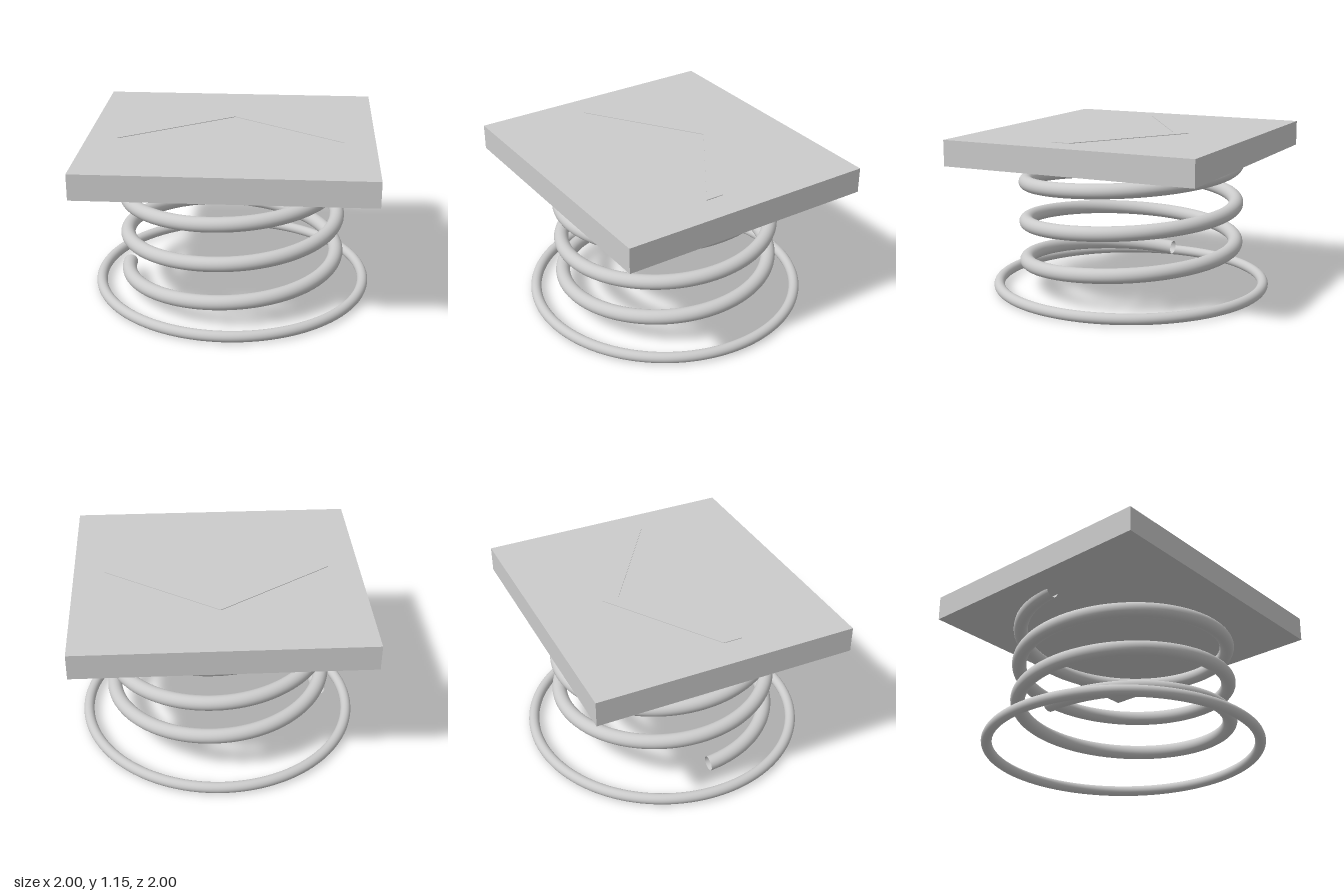
import * as THREE from 'three';

// Rising coil path, starting on the -x side and turning through +z
class CoilCurve extends THREE.Curve {
  constructor(radius, y0, y1, turns) {
    super();
    Object.assign(this, { radius, y0, y1, turns });
  }
  getPoint(t, target = new THREE.Vector3()) {
    const a = t * this.turns * Math.PI * 2;
    return target.set(
      -this.radius * Math.cos(a),
      THREE.MathUtils.lerp(this.y0, this.y1, t),
      this.radius * Math.sin(a)
    );
  }
}

export function createModel() {
  const group = new THREE.Group();
  const grey = new THREE.MeshStandardMaterial({ color: 0xcccccc });
  const greyOpen = new THREE.MeshStandardMaterial({ color: 0xcccccc, side: THREE.DoubleSide });

  const add = (name, geometry, material = grey) => {
    const mesh = new THREE.Mesh(geometry, material);
    mesh.name = name;
    group.add(mesh);
    return mesh;
  };

  // Base ring lying on the ground
  const ring = add('baseRing', new THREE.TorusGeometry(0.962, 0.038, 24, 128));
  ring.rotation.x = -Math.PI / 2;
  ring.position.y = 0.038;

  // Three-turn spring with open wire ends
  const coil = new CoilCurve(0.758, 0.112, 0.975, 3);
  add('spring', new THREE.TubeGeometry(coil, 300, 0.052, 24, false), greyOpen);

  // Square-edged top plate
  const plate = add('topPlate', new THREE.BoxGeometry(2, 0.18, 1.83));
  plate.position.y = 1.057;

  // Thin raised chevron on the plate, pointing to the back
  const chevron = new THREE.Shape([
    [-0.785, -0.2], [-0.785, -0.07], [0, 0.447], [0.785, -0.07], [0.785, -0.2], [0, 0.33],
  ].reverse().map(([x, y]) => new THREE.Vector2(x, y)));
  const inlay = add('chevronInlay', new THREE.ExtrudeGeometry(chevron, { depth: 0.02, bevelEnabled: false }));
  inlay.rotation.x = -Math.PI / 2;
  inlay.position.y = 1.131;

  return group;
}
